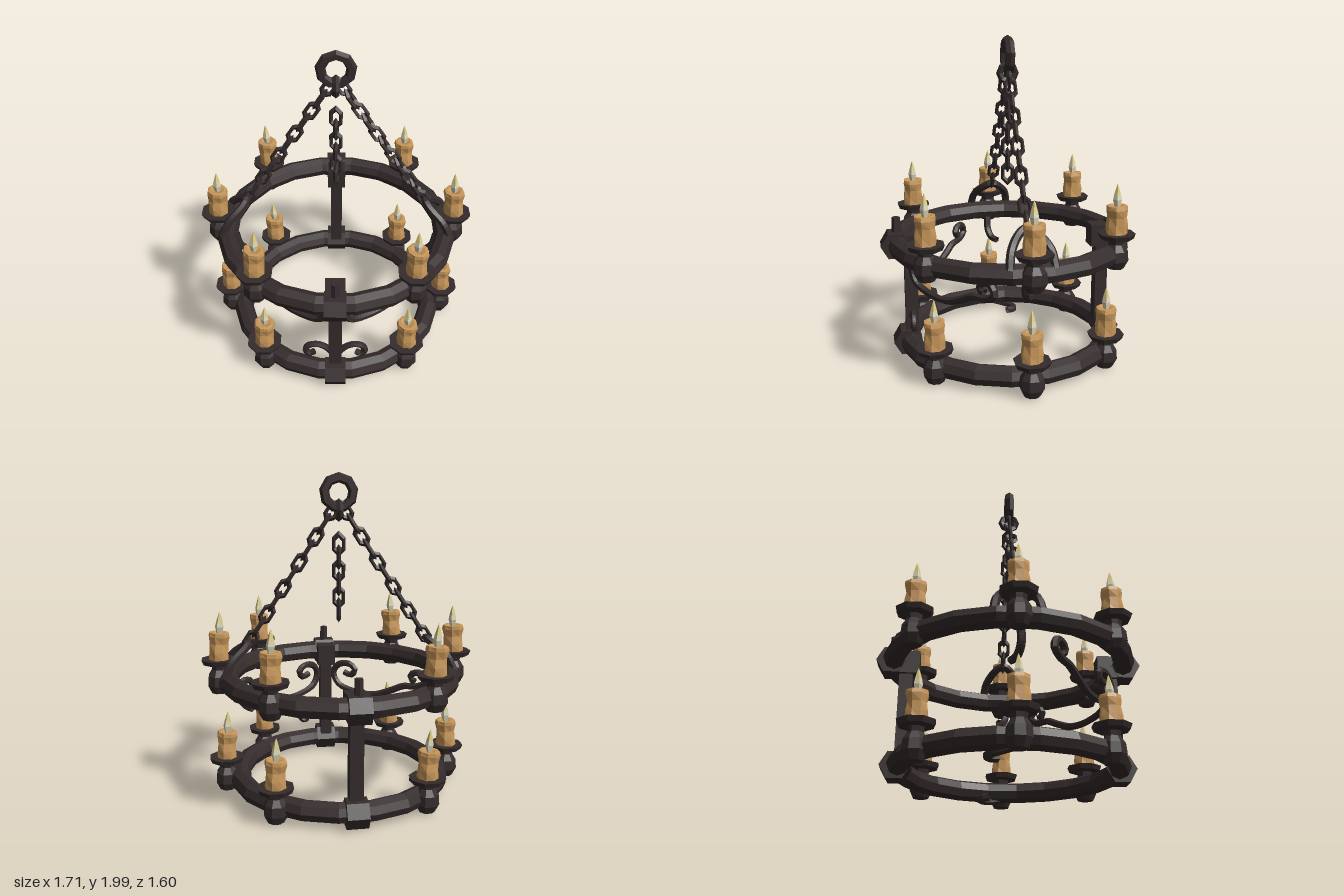
import * as THREE from 'three';

const flat = (name, color, side = THREE.FrontSide) => {
  const m = new THREE.MeshStandardMaterial({ color, flatShading: true, side });
  m.name = name;
  return m;
};
const V = (x, y, z) => new THREE.Vector3(x, y, z);

export function createModel() {
  const iron = flat('dark iron', 0x352c2c, THREE.DoubleSide);
  const wax = flat('honey wax', 0xc8975a);
  const glow = flat('pale flame', 0xddd8b8);
  const tip = flat('yellow flame tip', 0xdccb84);

  const model = new THREE.Group();
  model.name = 'chandelier';
  const add = (name, geo, mat, x = 0, y = 0, z = 0, parent = model) => {
    const m = new THREE.Mesh(geo, mat);
    m.name = name;
    m.position.set(x, y, z);
    parent.add(m);
    return m;
  };
  // wrought bar bent along points, repeated on both sides of the model
  const bar = (name, pts, radius, segments = 28) => {
    for (const s of [1, -1]) {
      const curve = new THREE.CatmullRomCurve3(pts.map(([x, y, z]) => V(s * x, y, z)));
      add(name, new THREE.TubeGeometry(curve, segments, radius, 6), iron);
    }
  };

  // two iron hoops
  const hoops = [
    { y: 0.74, r: 0.7, side: 0.75, cx: 0.47, cz: 0.56, label: 'upper' },
    { y: 0.1, r: 0.64, side: 0.72, cx: 0.45, cz: 0.52, label: 'lower' },
  ];
  for (const h of hoops) {
    const g = new THREE.TorusGeometry(h.r, 0.064, 8, 20);
    g.rotateX(Math.PI / 2).rotateY(Math.PI / 20);
    add(h.label + 'Hoop', g, iron, 0, h.y, 0);
  }

  // posts with clamps and pegs, front and back
  for (const s of [1, -1]) {
    add('post', new THREE.BoxGeometry(0.08, 0.68, 0.08), iron, 0, 0.42, s * 0.62);
    for (const h of hoops) {
      const clamp = new THREE.CylinderGeometry(0.09, 0.09, 0.13, 6);
      clamp.rotateZ(Math.PI / 2);
      add('clamp', clamp, iron, 0, h.y, s * (h.r + 0.01));
    }
    add('clampLug', new THREE.BoxGeometry(0.12, 0.14, 0.12), iron, 0, 0.73, s * 0.6);
    add('peg', new THREE.CylinderGeometry(0.025, 0.03, 0.14, 6), iron, 0, 0.84, s * 0.7);
  }

  // holder, candle and flame shapes
  const lathe = (pts, n) => new THREE.LatheGeometry(pts.map(p => new THREE.Vector2(...p)), n);
  const holderGeo = lathe([[0, -0.085], [0.05, -0.08], [0.075, -0.03], [0.07, 0.03], [0.045, 0.07],
    [0.05, 0.098], [0.1, 0.105], [0.112, 0.135], [0, 0.13]], 8);
  const candleGeo = lathe([[0, 0], [0.064, 0], [0.063, 0.05], [0.058, 0.1], [0.066, 0.145], [0.062, 0.168],
    [0.045, 0.17], [0, 0.155]], 8);
  candleGeo.rotateY(Math.PI / 8);
  const p = candleGeo.attributes.position;
  for (let i = 0; i < p.count; i++) {
    const y = p.getY(i), a = Math.atan2(p.getX(i), p.getZ(i));
    const k = 1 + 0.06 * Math.cos(4 * a + Math.PI) + 0.05 * Math.sin(a * 2 + y * 40);
    p.setX(i, p.getX(i) * k);
    p.setZ(i, p.getZ(i) * k);
  }
  const flameGeo = lathe([[0, 0], [0.016, 0], [0.027, 0.045], [0.021, 0.075]], 5);
  const tipGeo = lathe([[0.021, 0.075], [0.008, 0.12], [0, 0.14]], 5);

  // six candles on each hoop
  for (const h of hoops) {
    const spots = [[h.side, 0], [-h.side, 0]];
    for (const sx of [1, -1]) for (const sz of [1, -1]) spots.push([sx * h.cx, sz * h.cz]);
    spots.forEach(([x, z], i) => {
      const unit = new THREE.Group();
      unit.name = h.label + 'Candle';
      unit.position.set(x, h.y, z);
      model.add(unit);
      const holder = add('holder', holderGeo, iron, 0, 0, 0, unit);
      holder.rotation.y = Math.PI / 8;
      const candle = new THREE.Group();
      candle.name = 'candle';
      candle.position.y = 0.132;
      candle.rotation.z = 0.05 * Math.sin(i * 2.4 + 1.6);
      unit.add(candle);
      add('wax', candleGeo, wax, 0, 0, 0, candle);
      add('flame', flameGeo, glow, 0, 0.158, 0, candle);
      add('flameTip', tipGeo, tip, 0, 0.158, 0, candle);
    });
  }

  // long double-ended scrolls from the front post to the sides
  const scroll = [[0.13, 0.6], [0.17, 0.585], [0.2, 0.625], [0.16, 0.665], [0.09, 0.65], [0.06, 0.59],
    [0.09, 0.51], [0.2, 0.465], [0.32, 0.465], [0.42, 0.51], [0.5, 0.555], [0.58, 0.565], [0.635, 0.605],
    [0.61, 0.66], [0.55, 0.65], [0.54, 0.61], [0.57, 0.6]];
  bar('scroll', scroll.map(([x, y]) => [x, y, 0.62 - 0.72 * (x - 0.05)]), 0.023, 48);

  // small curls low on the front post
  const curl = [[0.02, 0.24], [0.06, 0.29], [0.11, 0.315], [0.165, 0.305], [0.185, 0.26], [0.155, 0.235], [0.13, 0.25]];
  bar('postCurl', curl.map(([x, y]) => [x, y, 0.62]), 0.02);

  // hooks inside the hoops at the sides
  bar('hoopCurl', [[0.64, 0.06, 0], [0.61, 0.04, -0.09], [0.55, 0.035, -0.145], [0.49, 0.035, -0.135],
    [0.47, 0.04, -0.09]], 0.024, 16);
  bar('hoopHook', [[0.65, 0.7, 0.02], [0.63, 0.61, 0.02], [0.59, 0.56, 0], [0.55, 0.55, -0.03]], 0.024, 14);

  // shackles joining the chains to the upper hoop
  bar('shackle', [[0.72, 0.77, 0.13], [0.67, 0.87, 0.11], [0.59, 0.94, 0.05], [0.565, 0.965, 0],
    [0.59, 0.94, -0.05], [0.67, 0.87, -0.11], [0.72, 0.77, -0.13]], 0.026);

  // hanging ring and its loop
  add('hangingRing', new THREE.TorusGeometry(0.09, 0.031, 6, 9), iron, 0, 1.88, 0).rotation.z = Math.PI / 18;
  add('ringLoop', new THREE.TorusGeometry(0.048, 0.022, 5, 8), iron, 0, 1.775, 0).rotation.y = Math.PI / 2;

  // chains of alternating links
  const linkGeo = new THREE.TorusGeometry(0.034, 0.0125, 4, 6);
  linkGeo.rotateZ(Math.PI / 6).scale(1, 1.75, 1.1);
  const chain = (name, from, to, count) => {
    const dir = to.clone().sub(from).normalize();
    const aim = new THREE.Quaternion().setFromUnitVectors(V(0, 1, 0), dir);
    for (let i = 0; i < count; i++) {
      const link = add(name, linkGeo, iron);
      link.position.lerpVectors(from, to, i / (count - 1));
      const twist = new THREE.Quaternion().setFromAxisAngle(V(0, 1, 0), (i % 2) * Math.PI / 2 + 0.15);
      link.quaternion.copy(aim).multiply(twist);
    }
  };
  for (const s of [1, -1]) chain('sideChain', V(s * 0.04, 1.77, 0), V(s * 0.55, 0.99, 0), 11);
  chain('middleChain', V(0, 1.57, 0), V(0, 1.16, 0), 6);

  return model;
}
